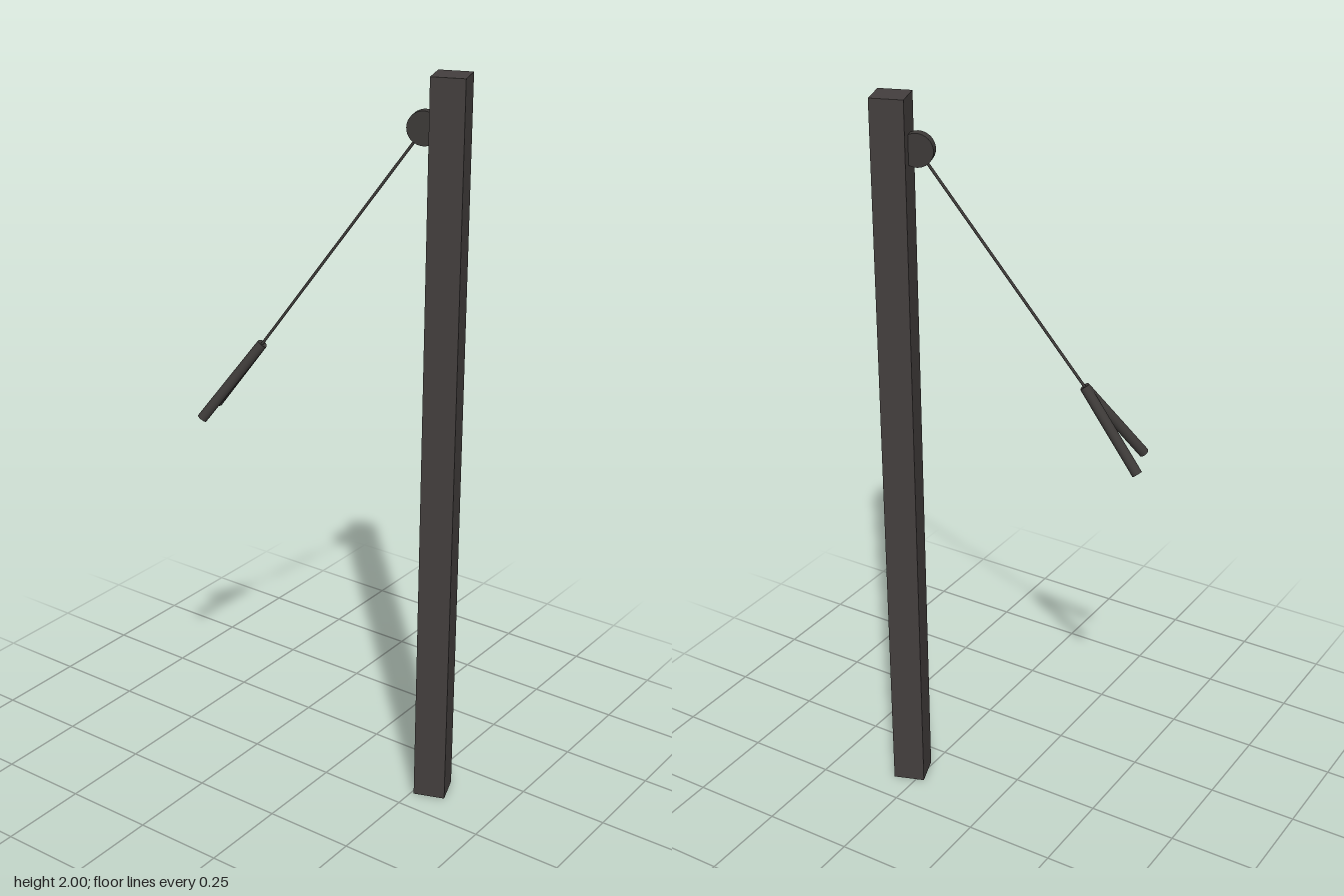
import * as THREE from 'three';

export function createModel() {
  const model = new THREE.Group();
  const postMaterial = new THREE.MeshStandardMaterial({ color: 0x443f3e });
  postMaterial.name = 'dark grey post';
  const fittingMaterial = new THREE.MeshStandardMaterial({ color: 0x3d3a38 });
  fittingMaterial.name = 'charcoal fittings';

  const add = (name, geometry, material, parent = model) => {
    const mesh = new THREE.Mesh(geometry, material);
    mesh.name = name;
    parent.add(mesh);
    return mesh;
  };

  // Cylinder running between two points
  const rod = (name, from, to, radius, sides) => {
    const span = to.clone().sub(from);
    const geometry = new THREE.CylinderGeometry(radius, radius, span.length(), sides);
    const mesh = add(name, geometry, fittingMaterial);
    mesh.position.copy(from).addScaledVector(span, 0.5);
    mesh.quaternion.setFromUnitVectors(new THREE.Vector3(0, 1, 0), span.normalize());
  };

  // Square post with the pulley half sunk into one face, turned together
  const mast = new THREE.Group();
  mast.name = 'mast';
  mast.position.set(0.2845, 0, -0.116);
  mast.rotation.y = THREE.MathUtils.degToRad(20);
  model.add(mast);
  add('post', new THREE.BoxGeometry(0.087, 2, 0.087), postMaterial, mast).position.y = 1;
  const pulley = add('pulley', new THREE.CylinderGeometry(0.043, 0.043, 0.025, 32), fittingMaterial, mast);
  pulley.rotation.x = Math.PI / 2;
  pulley.position.set(-0.0635, 1.868, 0);

  // Cable from the pulley centre to the joint of the two handles
  const joint = new THREE.Vector3(-0.17, 1.272, 0.05);
  rod('cable', new THREE.Vector3(0.225, 1.868, -0.094), joint, 0.0037, 12);

  // Pair of spread rope handles
  rod('rightHandle', joint, new THREE.Vector3(-0.331, 1.07, 0.042), 0.0137, 24);
  rod('leftHandle', joint, new THREE.Vector3(-0.289, 1.07, 0.158), 0.0137, 24);

  return model;
}
